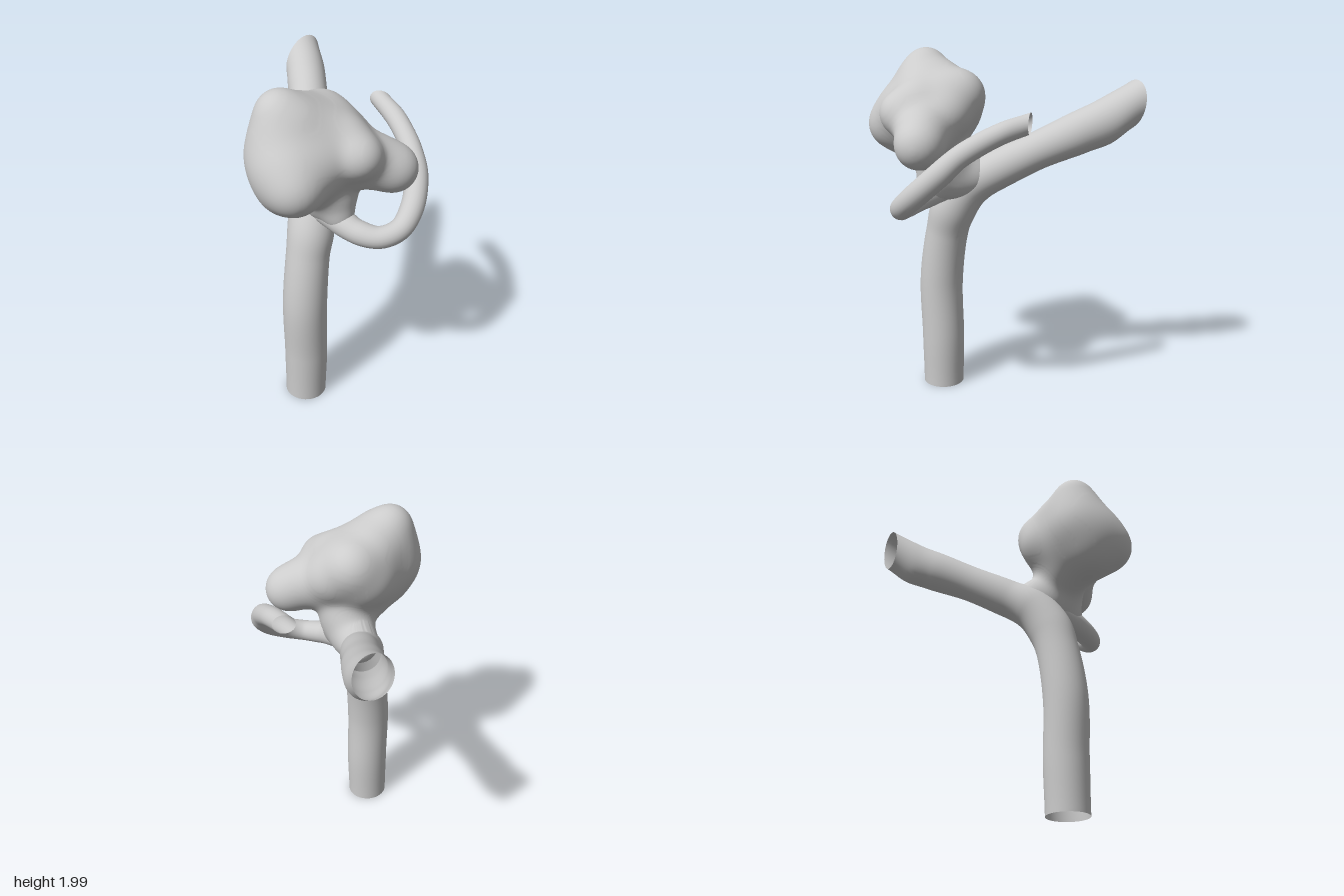
import * as THREE from 'three';
import { mergeVertices } from 'three/addons/utils/BufferGeometryUtils.js';

const V = (x, y, z) => new THREE.Vector3(x, y, z);
const material = new THREE.MeshStandardMaterial({ color: 0xcccccc, side: THREE.DoubleSide });

// Weld seams and recompute smooth normals
function smooth(geometry) {
  geometry.deleteAttribute('uv');
  geometry.deleteAttribute('normal');
  const welded = mergeVertices(geometry, 1e-5);
  welded.computeVertexNormals();
  return welded;
}

function part(name, geometry) {
  const mesh = new THREE.Mesh(smooth(geometry), material);
  mesh.name = name;
  return mesh;
}

// Open tube through stations [x, y, z, radius]; its far end is cut along a plane
function vessel(stations, segments, sides, cutNormal) {
  const curve = new THREE.CatmullRomCurve3(stations.map(s => V(s[0], s[1], s[2])));
  const geometry = new THREE.TubeGeometry(curve, segments, 1, sides);
  const pos = geometry.attributes.position;
  const tangent = curve.getTangentAt(1);
  const p = V(0, 0, 0);
  for (let i = 0; i <= segments; i++) {
    const u = i / segments;
    const center = curve.getPointAt(u);
    const t = curve.getUtoTmapping(u) * (stations.length - 1);
    const k = Math.min(Math.floor(t), stations.length - 2);
    const r = THREE.MathUtils.lerp(stations[k][3], stations[k + 1][3], THREE.MathUtils.smoothstep(t - k, 0, 1));
    const shear = THREE.MathUtils.smoothstep(u, 0.8, 1);
    for (let j = 0; j <= sides; j++) {
      const n = i * (sides + 1) + j;
      p.fromBufferAttribute(pos, n).sub(center).multiplyScalar(r);
      const slide = -p.dot(cutNormal) / tangent.dot(cutNormal);
      p.add(center).addScaledVector(tangent, slide * shear);
      pos.setXYZ(n, p.x, p.y, p.z);
    }
  }
  return geometry;
}

// Lumpy sac: a sphere shrink-wrapped onto a soft union of balls [x, y, z, radius]
function sac(balls, center, k) {
  const distance = p => {
    let sum = 0;
    for (const [x, y, z, r] of balls) sum += Math.exp((r - Math.hypot(p.x - x, p.y - y, p.z - z)) / k);
    return -k * Math.log(sum);
  };
  const geometry = new THREE.IcosahedronGeometry(1, 48);
  const pos = geometry.attributes.position;
  const dir = V(0, 0, 0), p = V(0, 0, 0);
  for (let i = 0; i < pos.count; i++) {
    dir.fromBufferAttribute(pos, i).normalize();
    let reach = 0.9;
    for (let step = 0; step < 60; step++) {
      const d = distance(p.copy(center).addScaledVector(dir, reach));
      if (d < 0.0005) break;
      reach -= d * 0.9;
    }
    p.copy(center).addScaledVector(dir, reach);
    pos.setXYZ(i, p.x, p.y, p.z);
  }
  return geometry;
}

export function createModel() {
  const group = new THREE.Group();
  group.name = 'branchingVessel';

  // Upright trunk bending into the thick rear branch
  group.add(part('trunkAndRearBranch', vessel([
    [-0.18, 0, 0.21, 0.12], [-0.178, 0.3, 0.21, 0.125], [-0.187, 0.65, 0.212, 0.126],
    [-0.15, 0.95, 0.19, 0.122], [-0.108, 1.1, 0.165, 0.13], [-0.045, 1.24, 0.09, 0.125],
    [0.045, 1.325, -0.02, 0.111], [0.17, 1.437, -0.2, 0.105], [0.31, 1.55, -0.4, 0.117],
    [0.387, 1.615, -0.52, 0.12], [0.45, 1.705, -0.645, 0.11],
  ], 110, 36, V(0, 0, -1))));

  // Thin branch looping forward and up
  group.add(part('thinBranch', vessel([
    [-0.07, 1.25, 0.22, 0.08], [-0.05, 1.22, 0.34, 0.075], [-0.02, 1.19, 0.45, 0.066],
    [0.05, 1.18, 0.55, 0.06], [0.15, 1.215, 0.592, 0.06], [0.26, 1.3, 0.562, 0.064],
    [0.355, 1.41, 0.48, 0.064], [0.405, 1.505, 0.385, 0.058], [0.46, 1.605, 0.2, 0.056],
    [0.49, 1.655, 0.03, 0.052],
  ], 90, 24, V(0.67, 0, -0.74))));

  // Lobed sac with its neck
  group.add(part('lobedSac', sac([
    [-0.2, 1.62, 0.27, 0.2],     // core
    [-0.35, 1.62, 0.31, 0.185],  // left side
    [-0.36, 1.66, 0.21, 0.13],   // left rear
    [-0.345, 1.89, 0.21, 0.092], // peak
    [-0.34, 1.77, 0.23, 0.135],
    [-0.28, 1.84, 0.28, 0.075],
    [-0.2, 1.79, 0.19, 0.12],
    [-0.18, 1.76, 0.31, 0.1],
    [-0.03, 1.755, 0.15, 0.12],  // upper shoulder
    [-0.05, 1.74, 0.25, 0.1],
    [-0.12, 1.65, 0.14, 0.125],  // rear
    [-0.36, 1.5, 0.29, 0.115],   // underside
    [-0.2, 1.46, 0.25, 0.1],
    [-0.4, 1.56, 0.42, 0.11],    // lower front lobe
    [-0.25, 1.65, 0.4, 0.085],
    [-0.07, 1.67, 0.5, 0.1],     // front bump
    [-0.07, 1.73, 0.39, 0.09],
    [0.17, 1.53, 0.5, 0.12],     // side bump
    [0.09, 1.585, 0.44, 0.1],
    [0.03, 1.57, 0.39, 0.11],
    [0.03, 1.66, 0.27, 0.11],
    [-0.05, 1.42, 0.24, 0.11],   // neck
    [-0.045, 1.36, 0.3, 0.085],
    [-0.05, 1.28, 0.19, 0.1],
    [-0.02, 1.3, 0.08, 0.1],
    [-0.05, 1.24, 0.34, 0.06],
  ], V(-0.11, 1.57, 0.28), 0.04)));

  return group;
}
